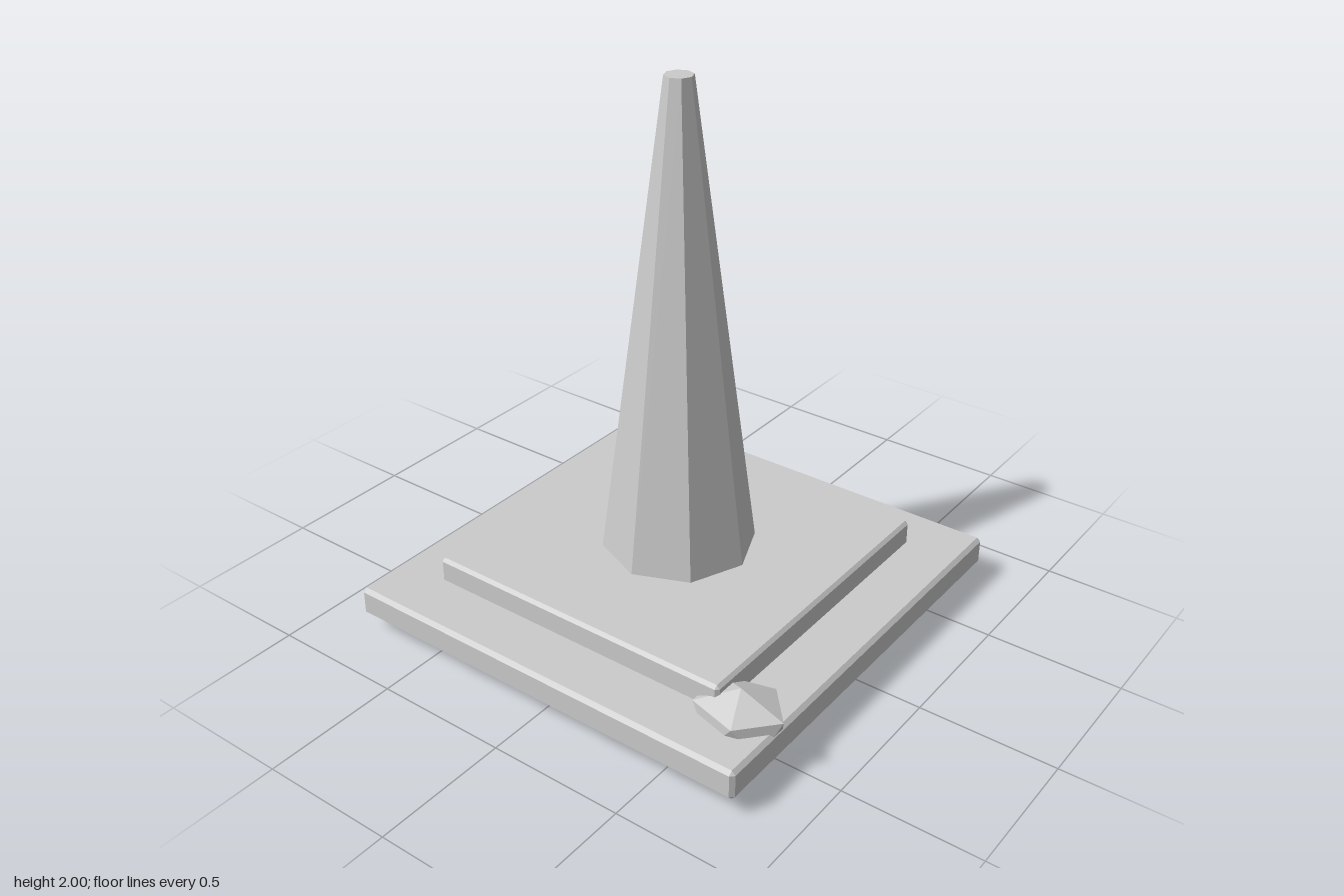
import * as THREE from 'three';
import { ConvexGeometry } from 'three/addons/geometries/ConvexGeometry.js';

const CX = -0.007; // monument axis
const material = new THREE.MeshStandardMaterial({ color: 0xcccccc, flatShading: true });

function addPart(group, name, geometry, x, y, z) {
  const mesh = new THREE.Mesh(geometry, material);
  mesh.name = name;
  mesh.position.set(x, y, z);
  group.add(mesh);
}

// Box with every edge and corner cut at 45 degrees
function chamferedBox(w, h, d, c) {
  const points = [];
  for (const sx of [-1, 1]) for (const sy of [-1, 1]) for (const sz of [-1, 1]) {
    for (let axis = 0; axis < 3; axis++) {
      const p = [w / 2 - c, h / 2 - c, d / 2 - c];
      p[axis] += c;
      points.push(new THREE.Vector3(sx * p[0], sy * p[1], sz * p[2]));
    }
  }
  return new ConvexGeometry(points);
}

// Faceted stone: two apexes and two staggered five-sided rings
function stoneGeometry() {
  const points = [new THREE.Vector3(0, 0.27, 0), new THREE.Vector3(0, 0, 0)];
  const ring = (radius, y, turn) => {
    for (let i = 0; i < 5; i++) {
      const a = turn + (i * Math.PI * 2) / 5;
      points.push(new THREE.Vector3(radius * Math.cos(a), y, 0.82 * radius * Math.sin(a)));
    }
  };
  ring(0.163, 0.21, 0);
  ring(0.14, 0.085, Math.PI / 5);
  return new ConvexGeometry(points);
}

export function createModel() {
  const group = new THREE.Group();
  group.name = 'obelisk';

  // Stepped base
  addPart(group, 'lowerSlab', chamferedBox(1.614, 0.11, 1.614, 0.014), CX, 0.12, 0);
  addPart(group, 'upperStep', chamferedBox(1.21, 0.1, 1.21, 0.012), CX, 0.225, 0);

  // Tapering eight-sided spire
  addPart(group, 'spire', new THREE.CylinderGeometry(0.05, 0.278, 1.73, 8), CX, 1.135, 0);

  // Loose stone lodged in the front left corner
  addPart(group, 'stone', stoneGeometry(), 0.652, 0, 0.555);

  return group;
}
